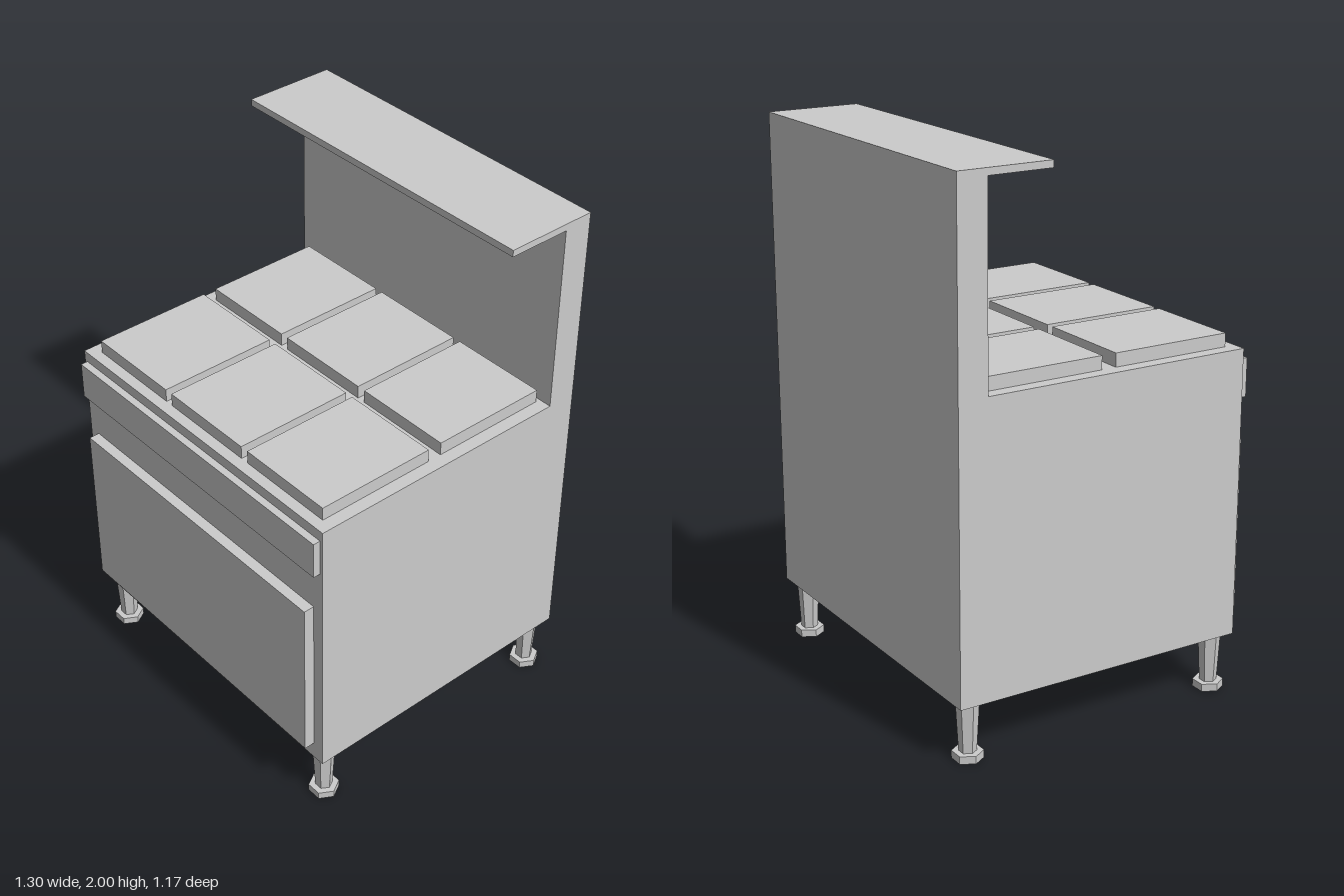
import * as THREE from 'three';

export function createModel() {
  const group = new THREE.Group();
  const material = new THREE.MeshStandardMaterial({ color: 0xcccccc, flatShading: true });

  const add = (name, geometry, x, y, z, parent = group) => {
    const mesh = new THREE.Mesh(geometry, material);
    mesh.name = name;
    mesh.position.set(x, y, z);
    parent.add(mesh);
    return mesh;
  };
  // Box given by its lower and upper limits
  const addBox = (name, [x0, x1], [y0, y1], [z0, z1]) =>
    add(name, new THREE.BoxGeometry(x1 - x0, y1 - y0, z1 - z0),
      (x0 + x1) / 2, (y0 + y1) / 2, (z0 + z1) / 2);

  // Cabinet, splashback and top shelf: one side profile (z, y) swept across the width
  const width = 1.3;
  const profile = new THREE.Shape([
    [-0.585, 0.215], [0.545, 0.215], [0.545, 1.275], [-0.475, 1.275],
    [-0.475, 1.975], [-0.235, 1.975], [-0.235, 2], [-0.585, 2],
  ].map(([z, y]) => new THREE.Vector2(z, y)));
  const body = new THREE.ExtrudeGeometry(profile, { depth: width, bevelEnabled: false });
  body.rotateY(-Math.PI / 2);
  add('cabinetBody', body, width / 2, 0, 0);

  // Front panels
  addBox('ovenDoor', [-0.605, 0.605], [0.285, 0.93], [0.545, 0.585]);
  addBox('controlPanel', [-0.637, 0.637], [1.095, 1.235], [0.545, 0.572]);

  // Six cooking plates, three across and two deep
  for (const [row, depth] of [['front', [0.047, 0.503]], ['back', [-0.457, -0.008]]]) {
    for (const x of [-0.411, 0, 0.411]) {
      addBox(`${row}Plate`, [x - 0.19, x + 0.19], [1.275, 1.324], depth);
    }
  }

  // Tapered hexagonal legs on wider feet
  const stem = new THREE.CylinderGeometry(0.041, 0.031, 0.187, 6, 1, false, Math.PI / 6);
  const foot = new THREE.CylinderGeometry(0.055, 0.055, 0.028, 6, 1, false, Math.PI / 6);
  for (const x of [-0.59, 0.59]) {
    for (const z of [0.487, -0.524]) {
      const leg = new THREE.Group();
      leg.name = `${z > 0 ? 'front' : 'back'}${x > 0 ? 'Left' : 'Right'}Leg`;
      leg.position.set(x, 0, z);
      group.add(leg);
      add('legStem', stem, 0, 0.1215, 0, leg);
      add('legFoot', foot, 0, 0.014, 0, leg);
    }
  }

  return group;
}
